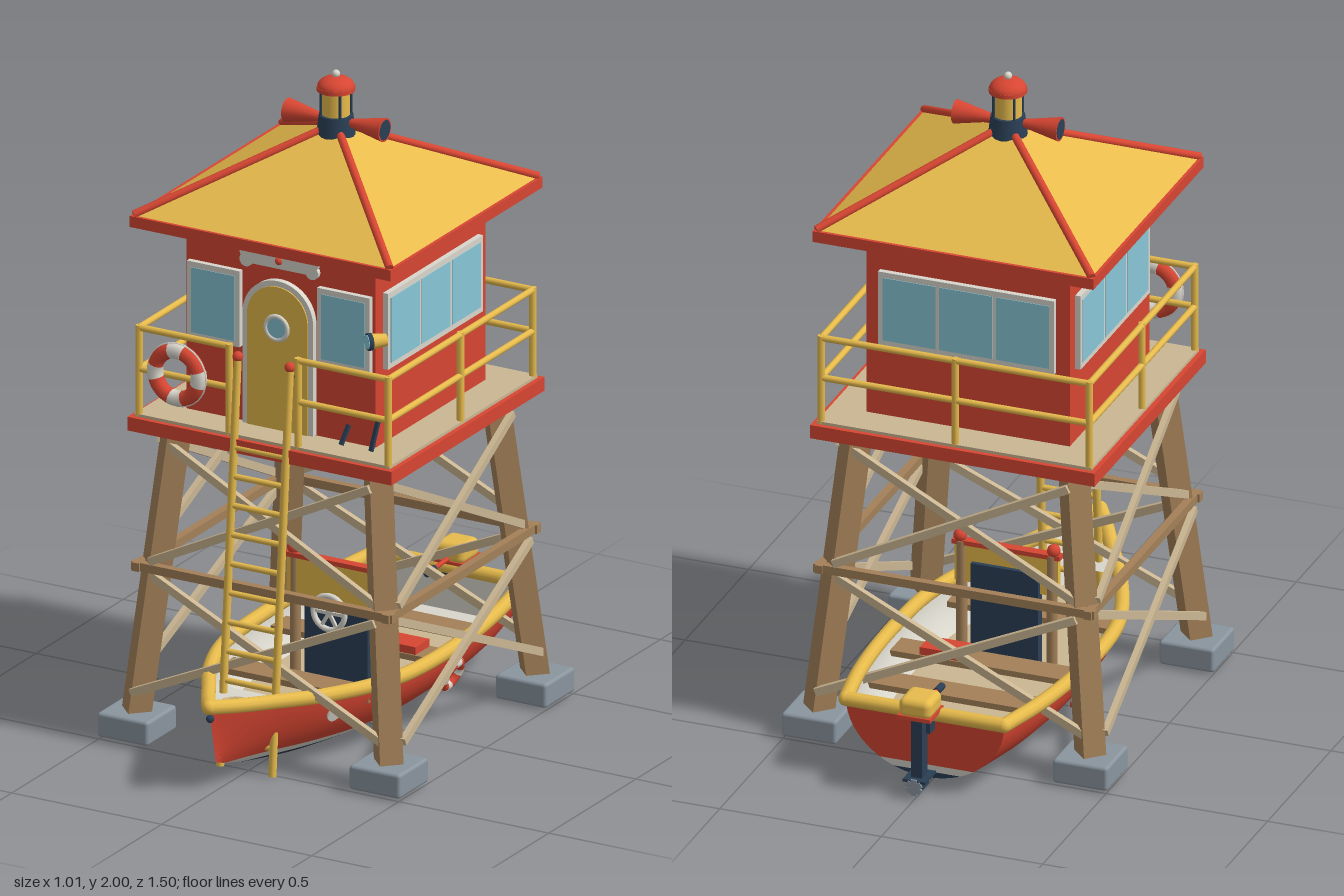
import * as THREE from 'three';
import { ParametricGeometry } from 'three/addons/geometries/ParametricGeometry.js';
import { RoundedBoxGeometry } from 'three/addons/geometries/RoundedBoxGeometry.js';

const V = (x, y, z) => new THREE.Vector3(x, y, z);
const paint = (name, color, side = THREE.FrontSide) => {
  const m = new THREE.MeshStandardMaterial({ color, side });
  m.name = name;
  return m;
};

export function createModel() {
  const D = THREE.DoubleSide;
  const red = paint('red', 0xd84632, D), yellow = paint('yellow', 0xe7bb4c, D);
  const navy = paint('navy', 0x2a3f55, D), white = paint('offWhite', 0xd9d6cc, D);
  const glass = paint('glass', 0x88c6d6), timber = paint('timber', 0xa38058);
  const pale = paint('paleWood', 0xcbb692, D), grey = paint('concrete', 0x8a959f);

  const model = new THREE.Group();
  const group = (name, parent = model) => {
    const g = new THREE.Group();
    g.name = name;
    parent.add(g);
    return g;
  };
  const add = (parent, name, geo, mat, x = 0, y = 0, z = 0) => {
    const m = new THREE.Mesh(geo, mat);
    m.name = name;
    m.position.set(x, y, z);
    parent.add(m);
    return m;
  };
  const box = (p, name, mat, w, h, d, x, y, z) => add(p, name, new THREE.BoxGeometry(w, h, d), mat, x, y, z);
  const ball = (p, name, mat, r, x, y, z) => add(p, name, new THREE.SphereGeometry(r, 14, 10), mat, x, y, z);
  const cyl = (p, name, mat, rt, rb, h, x, y, z) => add(p, name, new THREE.CylinderGeometry(rt, rb, h, 20), mat, x, y, z);
  // round bar and square beam between two points
  const rod = (p, name, mat, a, b, r) => {
    const m = add(p, name, new THREE.CylinderGeometry(r, r, a.distanceTo(b), 10), mat);
    m.position.lerpVectors(a, b, 0.5);
    m.quaternion.setFromUnitVectors(V(0, 1, 0), b.clone().sub(a).normalize());
    return m;
  };
  const beam = (p, name, mat, a, b, w, h) => {
    const m = add(p, name, new THREE.BoxGeometry(w, h, a.distanceTo(b)), mat);
    m.position.lerpVectors(a, b, 0.5);
    m.quaternion.setFromRotationMatrix(new THREE.Matrix4().lookAt(b, a, V(0, 1, 0)));
    return m;
  };
  const lifebuoy = (p, R, r) => {
    const g = group('lifebuoy', p);
    for (let i = 0; i < 4; i++) {
      add(g, 'buoyRed', new THREE.TorusGeometry(R, r, 10, 10, 0.99), red).rotation.z = i * Math.PI / 2 + 0.29;
      add(g, 'buoyWhite', new THREE.TorusGeometry(R, r * 1.04, 10, 5, 0.58), white).rotation.z = i * Math.PI / 2 - 0.29;
    }
    add(g, 'buoyRope', new THREE.TorusGeometry(R + r, r * 0.14, 6, 32), white);
    return g;
  };

  // ---- Tower: feet, splayed legs, cross bracing ----
  const tower = group('tower');
  const half = y => 0.42 - 0.085 * (y - 0.08) / 0.87;
  for (let i = 0; i < 4; i++) {
    const side = group('towerSide', tower);
    side.rotation.y = i * Math.PI / 2;
    add(side, 'footing', new RoundedBoxGeometry(0.17, 0.075, 0.17, 2, 0.01), grey, 0.42, 0.047, 0.42);
    beam(side, 'leg', timber, V(half(0.06), 0.06, half(0.06)), V(half(0.96), 0.96, half(0.96)), 0.07, 0.07);
    const at = (s, y, out) => V(s * half(y), y, half(y) + out);
    for (const [lo, hi] of [[0.15, 0.505], [0.55, 0.9]]) {
      beam(side, 'brace', pale, at(-1, lo, 0.05), at(1, hi, 0.05), 0.018, 0.024);
      beam(side, 'brace', pale, at(1, lo, 0.034), at(-1, hi, 0.034), 0.018, 0.024);
    }
    box(side, 'crossBar', timber, 0.87, 0.026, 0.024, 0, 0.527, half(0.527) + 0.04);
  }

  // ---- Platform and railing ----
  const platform = group('platform');
  box(platform, 'platformFrame', red, 0.88, 0.042, 0.88, 0, 0.968, 0);
  box(platform, 'deck', pale, 0.85, 0.012, 0.85, 0, 0.992, 0);
  for (let i = 0; i < 4; i++) {
    const side = group('railing', platform);
    side.rotation.y = i * Math.PI / 2;
    const spans = i === 0 ? [[-0.415, -0.115], [0.115, 0.415]] : [[-0.415, 0.415]];
    const posts = i === 0 ? [-0.115, 0.115, 0.415] : [0, 0.415];
    for (const [a, b] of spans)
      for (const y of [1.135, 1.262]) rod(side, 'rail', yellow, V(a, y, 0.415), V(b, y, 0.415), 0.01);
    for (const x of posts) rod(side, 'railPost', yellow, V(x, 0.99, 0.415), V(x, 1.27, 0.415), 0.011);
  }
  lifebuoy(platform, 0.073, 0.023).position.set(-0.27, 1.155, 0.448);

  // ---- Cabin with windows ----
  const cabin = group('cabin');
  box(cabin, 'cabinWalls', red, 0.63, 0.59, 0.63, 0, 1.29, 0);
  const windowUnit = (p, w, panes, x) => {
    box(p, 'windowFrame', white, w, 0.235, 0.024, x, 1.345, 0.32);
    const pw = (w - 0.03 - 0.012 * (panes - 1)) / panes;
    for (let k = 0; k < panes; k++)
      box(p, 'windowPane', glass, pw, 0.2, 0.006, x + (k - (panes - 1) / 2) * (pw + 0.012), 1.345, 0.331);
  };
  windowUnit(cabin, 0.175, 1, -0.217);
  windowUnit(cabin, 0.175, 1, 0.217);
  for (let i = 1; i < 4; i++) {
    const wall = group('windowWall', cabin);
    wall.rotation.y = i * Math.PI / 2;
    windowUnit(wall, 0.545, 3, 0);
  }

  // arched door with porthole and sign
  const arch = r => {
    const s = new THREE.Shape();
    s.moveTo(-r, 1.0).lineTo(r, 1.0).lineTo(r, 1.34);
    s.absarc(0, 1.34, r, 0, Math.PI);
    return s.lineTo(-r, 1.0);
  };
  const slab = (s, depth) => new THREE.ExtrudeGeometry(s, { depth, bevelEnabled: false, curveSegments: 16 });
  add(cabin, 'doorFrame', slab(arch(0.118), 0.022), white, 0, 0, 0.312);
  add(cabin, 'door', slab(arch(0.101), 0.026), yellow, 0, 0, 0.312);
  add(cabin, 'portholeRing', new THREE.TorusGeometry(0.036, 0.007, 8, 24), white, 0, 1.315, 0.34);
  cyl(cabin, 'portholeGlass', glass, 0.035, 0.035, 0.006, 0, 1.315, 0.34).rotation.x = Math.PI / 2;
  ball(cabin, 'doorHandle', navy, 0.011, 0.073, 1.18, 0.345);
  box(cabin, 'signBoard', white, 0.21, 0.042, 0.014, 0, 1.515, 0.322);
  for (const s of [-1, 1]) {
    for (const dy of [-0.013, 0.013])
      cyl(cabin, 'signEnd', white, 0.021, 0.021, 0.014, s * 0.11, 1.515 + dy, 0.322).rotation.x = Math.PI / 2;
    // flippers leaning on the wall
    beam(cabin, 'flipper', navy, V(0.27 + s * 0.05, 1.0, 0.35), V(0.28 + s * 0.05, 1.075 + s * 0.02, 0.322), 0.014, 0.008);
  }
  ball(cabin, 'signStud', red, 0.012, 0, 1.518, 0.327);

  // searchlight on the corner
  const lamp = group('searchlight', cabin);
  lamp.position.set(0.342, 1.345, 0.348);
  lamp.rotation.y = -0.7;
  cyl(lamp, 'lampBody', yellow, 0.024, 0.018, 0.05, 0, 0, 0).rotation.x = Math.PI / 2;
  cyl(lamp, 'lampRim', navy, 0.026, 0.026, 0.012, 0, 0, 0.026).rotation.x = Math.PI / 2;
  cyl(lamp, 'lampLens', glass, 0.021, 0.021, 0.006, 0, 0, 0.031).rotation.x = Math.PI / 2;
  rod(lamp, 'lampBracket', navy, V(0, 0, 0), V(-0.045, -0.02, -0.01), 0.007);

  // ---- Roof, lantern and horns ----
  const roof = group('roof');
  box(roof, 'eaves', red, 0.87, 0.034, 0.87, 0, 1.592, 0);
  const cone = new THREE.ConeGeometry(0.425 * Math.SQRT2, 0.225, 4).toNonIndexed();
  cone.computeVertexNormals();
  add(roof, 'roofPanels', cone, yellow, 0, 1.7215, 0).rotation.y = Math.PI / 4;
  for (const x of [-1, 1]) for (const z of [-1, 1]) {
    rod(roof, 'roofRidge', red, V(x * 0.427, 1.612, z * 0.427), V(0, 1.835, 0), 0.012);
    rod(roof, 'lanternBar', navy, V(x * 0.032, 1.86, z * 0.032), V(x * 0.032, 1.942, z * 0.032), 0.004);
  }
  cyl(roof, 'lanternBase', navy, 0.05, 0.058, 0.065, 0, 1.832, 0);
  cyl(roof, 'lanternLight', yellow, 0.041, 0.041, 0.08, 0, 1.9, 0);
  cyl(roof, 'lanternCapRim', red, 0.056, 0.056, 0.012, 0, 1.944, 0);
  add(roof, 'lanternCap', new THREE.SphereGeometry(0.055, 20, 8, 0, Math.PI * 2, 0, Math.PI / 2), red, 0, 1.948, 0).scale.y = 0.6;
  ball(roof, 'finial', white, 0.012, 0, 1.988, 0);
  for (const s of [-1, 1]) {
    cyl(roof, 'horn', red, 0.036, 0.012, 0.115, s * 0.105, 1.845, 0).rotation.z = -s * Math.PI / 2;
    cyl(roof, 'hornMouth', navy, 0.03, 0.03, 0.004, s * 0.162, 1.845, 0).rotation.z = Math.PI / 2;
  }

  // ---- Ladder ----
  const ladder = group('ladder');
  const ladderZ = y => 0.515 - 0.082 * y;
  for (const s of [-1, 1]) {
    rod(ladder, 'ladderRail', yellow, V(s * 0.087, 0.005, ladderZ(0)), V(s * 0.087, 1.23, ladderZ(1.23)), 0.012);
    ball(ladder, 'ladderKnob', red, 0.016, s * 0.087, 1.235, ladderZ(1.235));
  }
  for (let y = 0.088; y < 1.0; y += 0.0875)
    rod(ladder, 'rung', yellow, V(-0.087, y, ladderZ(y)), V(0.087, y, ladderZ(y)), 0.009);

  // ---- Boat hull lofted between keel and sheer curves ----
  const boat = group('boat');
  const sheer = new THREE.CatmullRomCurve3([V(0.245, 0.245, -0.655), V(0.283, 0.235, -0.45), V(0.305, 0.225, -0.15),
    V(0.285, 0.225, 0.15), V(0.2, 0.235, 0.38), V(0.105, 0.25, 0.55), V(0.046, 0.262, 0.655), V(0, 0.272, 0.728)]);
  const keel = new THREE.CatmullRomCurve3([V(0, 0.03, -0.64), V(0, 0.015, -0.45), V(0, 0.008, -0.15),
    V(0, 0.008, 0.15), V(0, 0.015, 0.36), V(0, 0.04, 0.52), V(0, 0.065, 0.62), V(0, 0.09, 0.69)]);
  const hullAt = (u, yOf, target) => {
    const s = sheer.getPoint(u), k = keel.getPoint(u);
    const t = THREE.MathUtils.clamp((yOf(s.y, k.y) - k.y) / (s.y - k.y), 0, 1);
    const f = THREE.MathUtils.lerp(Math.sqrt(1 - (1 - t) ** 2), t, 0.5 * u ** 3);
    return target.set(s.x * f, THREE.MathUtils.lerp(k.y, s.y, t), THREE.MathUtils.lerp(k.z, s.z, t));
  };
  const surface = (name, mat, fn, nu, nv) => {
    const g = new ParametricGeometry(fn, nu, nv);
    g.computeVertexNormals();
    return add(boat, name, g, mat);
  };
  const bands = [
    ['hullBottom', navy, v => (s, k) => k + (Math.max(0.05, k) - k) * v * v],
    ['waterlineStripe', white, v => (s, k) => Math.max(k, 0.05 + 0.022 * v)],
    ['hullSide', red, v => (s, k) => THREE.MathUtils.lerp(Math.max(0.072, k), s, v)],
  ];
  for (const [name, mat, rule] of bands) {
    for (const s of [-1, 1])
      surface(name, mat, (u, v, p) => { hullAt(u, rule(v), p); p.x *= s; }, 36, 8);
    surface(name + 'Transom', mat, (u, v, p) => { hullAt(0, rule(v), p); p.x *= 2 * u - 1; }, 2, 8);
  }
  // inner lining, rim, side buoys and bow discs
  for (const s of [-1, 1]) {
    surface('lining', white, (u, v, p) => {
      hullAt(u, y => THREE.MathUtils.lerp(0.1, y, v), p);
      p.x = s * Math.max(0, p.x - 0.012);
    }, 36, 6);
    add(boat, 'gunwale', new THREE.TubeGeometry(new THREE.CatmullRomCurve3(
      sheer.getPoints(20).map(p => V(s * p.x, p.y, p.z))), 48, 0.022, 10), yellow);
    ball(boat, 'gunwaleCorner', yellow, 0.022, s * 0.245, 0.245, -0.655);
    const buoy = lifebuoy(boat, 0.041, 0.014);
    buoy.position.set(s * 0.292, 0.135, -0.16);
    buoy.rotation.order = 'YXZ';
    buoy.rotation.set(0.4, s * Math.PI / 2, 0);
    const disc = add(boat, 'bowDisc', new THREE.CylinderGeometry(0.024, 0.024, 0.009, 18).rotateX(Math.PI / 2), white);
    hullAt(0.555, () => 0.165, disc.position);
    disc.position.x *= s;
    disc.rotation.order = 'YXZ';
    disc.rotation.set(0.3, s * 1.2, 0);
  }
  ball(boat, 'bowCap', yellow, 0.022, 0, 0.272, 0.728);
  surface('transomLining', white, (u, v, p) => {
    hullAt(0, y => THREE.MathUtils.lerp(0.1, y, v), p);
    p.x *= 2 * u - 1;
    p.z += 0.012;
  }, 2, 6);
  const level = (name, mat, u0, u1, yOf) => surface(name, mat, (u, v, p) => {
    hullAt(THREE.MathUtils.lerp(u0, u1, u), yOf, p);
    p.x *= (2 * v - 1) * 0.97;
  }, 24, 2);
  level('floor', pale, 0, 0.98, () => 0.1);
  level('sternDeck', white, 0.005, 0.1, () => 0.12);
  level('bowDeck', white, 0.62, 0.99, s => s - 0.02);
  ball(boat, 'towEye', navy, 0.012, 0, 0.235, 0.722);
  rod(boat, 'sternGunwale', yellow, V(-0.245, 0.245, -0.655), V(0.245, 0.245, -0.655), 0.022);
  add(boat, 'ropeCoil', new THREE.TorusGeometry(0.038, 0.005, 8, 24), pale, 0, 0.238, 0.58).rotation.x = Math.PI / 2;
  for (const [z, w] of [[-0.38, 0.54], [-0.16, 0.57], [0.2, 0.5]]) box(boat, 'bench', timber, w, 0.018, 0.09, 0, 0.18, z);
  box(boat, 'cushion', red, 0.13, 0.025, 0.08, 0.13, 0.2, -0.16);

  // helm: navy console, yellow board with beacons, steering wheel
  const helm = group('helm', boat);
  box(helm, 'console', navy, 0.21, 0.32, 0.03, 0, 0.26, -0.014);
  box(helm, 'helmBoard', yellow, 0.32, 0.12, 0.02, 0, 0.412, -0.005);
  box(helm, 'helmTopBar', red, 0.335, 0.014, 0.03, 0, 0.476, -0.005);
  for (const s of [-1, 1]) {
    rod(helm, 'helmPost', timber, V(s * 0.14, 0.008, -0.008), V(s * 0.14, 0.48, -0.008), 0.016);
    ball(helm, 'beacon', red, 0.02, s * 0.145, 0.495, -0.008);
  }
  const wheel = group('steeringWheel', helm);
  wheel.position.set(0, 0.335, 0.04);
  add(wheel, 'wheelRim', new THREE.TorusGeometry(0.052, 0.009, 8, 24), white);
  for (let i = 0; i < 3; i++) box(wheel, 'wheelSpoke', white, 0.1, 0.01, 0.008, 0, 0, 0).rotation.z = i * Math.PI / 3;
  rod(wheel, 'wheelShaft', navy, V(0, 0, 0), V(0, 0, -0.04), 0.012);
  cyl(boat, 'drainPlug', timber, 0.045, 0.04, 0.02, 0, 0.012, -0.01);

  // outboard motor with tiller
  const motor = group('outboardMotor', boat);
  add(motor, 'cowl', new RoundedBoxGeometry(0.1, 0.06, 0.106, 3, 0.02), yellow, 0, 0.29, -0.692);
  box(motor, 'cowlTrim', red, 0.102, 0.012, 0.108, 0, 0.262, -0.692);
  box(motor, 'motorLeg', navy, 0.034, 0.22, 0.042, 0, 0.145, -0.7);
  box(motor, 'motorFoot', navy, 0.03, 0.035, 0.08, 0, 0.04, -0.7);
  box(motor, 'splashPlate', navy, 0.07, 0.008, 0.085, 0, 0.06, -0.7);
  box(motor, 'clamp', navy, 0.06, 0.06, 0.05, 0, 0.225, -0.665);
  for (let i = 0; i < 3; i++) box(motor, 'propellerBlade', grey, 0.018, 0.05, 0.006, 0, 0.042, -0.743).rotation.z = i * Math.PI / 3;
  rod(motor, 'tiller', red, V(0, 0.275, -0.645), V(0, 0.27, -0.56), 0.007);
  rod(motor, 'tillerGrip', navy, V(0, 0.27, -0.565), V(0, 0.268, -0.52), 0.011);

  return model;
}
